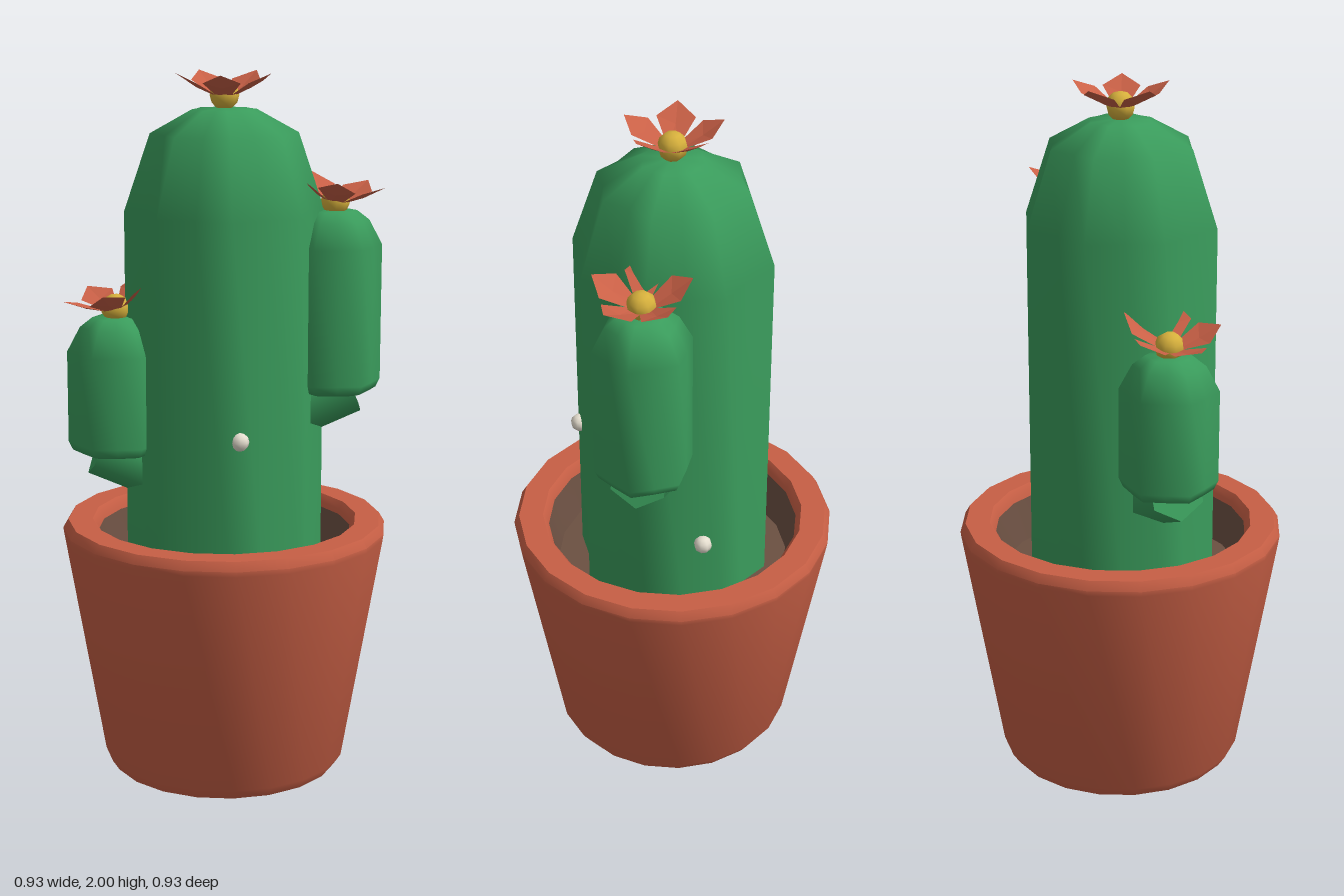
import * as THREE from 'three';
import { mergeVertices, toCreasedNormals } from 'three/addons/utils/BufferGeometryUtils.js';

const mat = (name, color, side = THREE.FrontSide) => {
  const m = new THREE.MeshStandardMaterial({ color, side });
  m.name = name;
  return m;
};

const add = (parent, name, geometry, material) => {
  const mesh = new THREE.Mesh(geometry, material);
  mesh.name = name;
  parent.add(mesh);
  return mesh;
};

const lathe = (profile, sides) =>
  new THREE.LatheGeometry(profile.map(([r, y]) => new THREE.Vector2(r, y)), sides);

// Lathe whose every second column is pulled in, leaving soft vertical ribs
function ribbed(profile, ribs, startAngle) {
  const geo = lathe(profile, ribs * 2);
  const pos = geo.attributes.position;
  for (let i = 0; i < pos.count; i++) {
    const column = Math.floor(i / profile.length);
    const k = column % 2 ? 0.88 : 1;
    pos.setX(i, pos.getX(i) * k);
    pos.setZ(i, pos.getZ(i) * k);
  }
  geo.rotateY(startAngle);
  geo.deleteAttribute('uv');
  geo.deleteAttribute('normal');
  const merged = mergeVertices(geo, 1e-4);
  merged.computeVertexNormals();
  return merged;
}

// One cupped petal pointing along +x
function petalGeometry() {
  const points = [
    0.012, 0, 0.014, 0.012, 0, -0.014,
    0.08, 0.031, 0,
    0.093, 0.046, 0.052, 0.093, 0.046, -0.052,
    0.138, 0.07, 0,
  ];
  const geo = new THREE.BufferGeometry();
  geo.setAttribute('position', new THREE.Float32BufferAttribute(points, 3));
  geo.setIndex([0, 2, 1, 0, 3, 2, 1, 2, 4, 3, 5, 2, 2, 5, 4]);
  const flat = geo.toNonIndexed();
  flat.computeVertexNormals();
  return flat;
}

export function createModel() {
  const model = new THREE.Group();
  model.name = 'pottedCactus';

  const clay = mat('terracotta', 0xc75f45);
  const earth = mat('soil brown', 0x6b5042);
  const green = mat('cactus green', 0x3a9c5c);
  const coral = mat('petal coral', 0xc96046, THREE.DoubleSide);
  const yellow = mat('flower yellow', 0xd6b03c);
  const ivory = mat('ivory', 0xe6dfd0);

  // Pot with a rounded foot and rim
  const pot = lathe([
    [0, 0], [0.33, 0], [0.35, 0.03], [0.463, 0.695], [0.465, 0.71],
    [0.45, 0.735], [0.38, 0.735], [0.366, 0.715], [0.36, 0.66],
  ], 20);
  add(model, 'pot', toCreasedNormals(pot, 0.7), clay);

  // Soil, sunk below the rim
  const soil = lathe([[0.364, 0.7], [0.337, 0.58], [0, 0.58]], 20);
  add(model, 'soil', toCreasedNormals(soil, 0.7), earth);

  // Main stem with eight ribs
  add(model, 'stem', ribbed([
    [0.28, 0.56], [0.28, 1.62], [0.207, 1.835], [0.09, 1.9], [0, 1.905],
  ], 8, 0), green);

  // Flower: five petals around a round centre
  const petal = petalGeometry();
  const addFlower = (name, x, y, tilt) => {
    const flower = new THREE.Group();
    flower.name = name;
    for (let i = 0; i < 5; i++) {
      add(flower, 'petal', petal, coral).rotation.y = Math.PI / 4 + i * Math.PI * 0.4;
    }
    add(flower, 'flowerCentre', new THREE.SphereGeometry(0.041, 8, 6), yellow).position.y = 0.008;
    flower.position.set(x, y, 0);
    flower.rotation.z = tilt;
    model.add(flower);
  };
  addFlower('topFlower', 0, 1.93, 0);

  // Side arms: upright six-ribbed column on a slanted hexagonal stub
  const addArm = (name, side, bottom, top) => {
    const arm = new THREE.Group();
    arm.name = name;
    const column = ribbed([
      [0, bottom], [0.09, bottom], [0.125, bottom + 0.01], [0.137, bottom + 0.035],
      [0.137, top - 0.1], [0.1, top - 0.03], [0.065, top - 0.003], [0, top],
    ], 6, Math.PI / 2);
    add(arm, 'armColumn', column, green).position.x = side * 0.308;

    const from = new THREE.Vector3(side * 0.17, bottom - 0.06, 0);
    const to = new THREE.Vector3(side * 0.357, bottom + 0.02, 0);
    const dir = to.clone().sub(from);
    const stubGeo = new THREE.CylinderGeometry(0.086, 0.086, dir.length(), 6);
    stubGeo.rotateY(Math.PI / 2);
    const stub = add(arm, 'armStub', stubGeo, green);
    stub.position.copy(from).add(to).multiplyScalar(0.5);
    stub.quaternion.setFromUnitVectors(new THREE.Vector3(0, 1, 0), dir.normalize());
    model.add(arm);
  };
  addArm('leftArm', 1, 1.1, 1.62);
  addArm('rightArm', -1, 0.93, 1.325);
  addFlower('leftFlower', 0.31, 1.635, -0.15);
  addFlower('rightFlower', -0.305, 1.34, 0.27);

  // Small pale buds on the stem
  for (const [x, y, z] of [[0.022, 1.02, 0.27], [0.222, 0.813, -0.147]]) {
    add(model, 'bud', new THREE.SphereGeometry(0.026, 8, 6), ivory).position.set(x, y, z);
  }

  return model;
}
